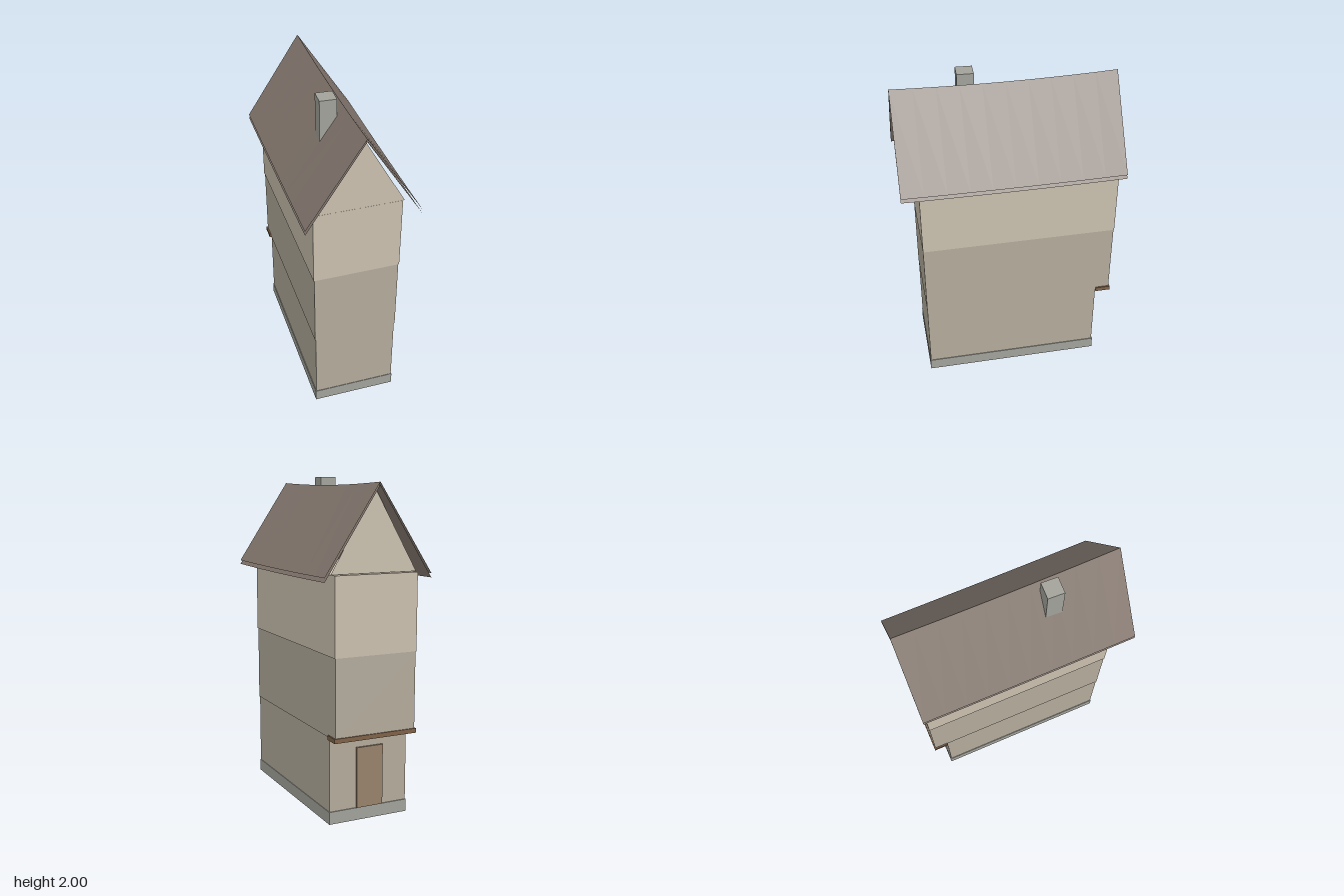
import * as THREE from 'three';

const mat = (color, side = THREE.FrontSide) =>
  new THREE.MeshStandardMaterial({ color, side, flatShading: true });

const upperWall = mat(0xc9bfae), lowerWall = mat(0xb2aa9b), stone = mat(0xa2a29b);
const timber = mat(0x7d6148), doorWood = mat(0x97826a);
const tiles = mat(0x857970, THREE.DoubleSide), plaster = mat(0xc9bfae, THREE.DoubleSide);

// Box given by its extents on each axis
function block(name, material, [x0, x1], [y0, y1], [z0, z1]) {
  const mesh = new THREE.Mesh(new THREE.BoxGeometry(x1 - x0, y1 - y0, z1 - z0), material);
  mesh.position.set((x0 + x1) / 2, (y0 + y1) / 2, (z0 + z1) / 2);
  mesh.name = name;
  return mesh;
}

// Thin pitched sheet, sagging towards the middle of its length
function roofSheet(name, side, ridge, eave) {
  const geo = new THREE.PlaneGeometry(1, 1, 1, 10);
  const p = geo.attributes.position;
  for (let i = 0; i < p.count; i++) {
    const down = p.getX(i) + 0.5, t = p.getY(i) * 2;
    const sag = (1 - t * t) * THREE.MathUtils.lerp(0.015, 0.005, down);
    p.setXYZ(i, side * 0.338 * down, THREE.MathUtils.lerp(ridge, eave, down) - sag, -t * 0.66);
  }
  if (side < 0) geo.index.array.reverse();
  geo.computeVertexNormals();
  const mesh = new THREE.Mesh(geo, tiles);
  mesh.name = name;
  return mesh;
}

// Triangular wall closing one end of the attic
function gable(name, z, turn) {
  const shape = new THREE.Shape([
    new THREE.Vector2(-0.272, 1.462), new THREE.Vector2(0.272, 1.462), new THREE.Vector2(0, 1.935),
  ]);
  const mesh = new THREE.Mesh(new THREE.ShapeGeometry(shape), plaster);
  mesh.position.z = z;
  mesh.rotation.y = turn;
  mesh.name = name;
  return mesh;
}

export function createModel() {
  const house = new THREE.Group();
  house.name = 'townHouse';

  // Storeys, each a little wider than the one below
  house.add(
    block('plinth', stone, [-0.257, 0.257], [0, 0.075], [-0.553, 0.553]),
    block('groundFloor', lowerWall, [-0.253, 0.253], [0.075, 0.525], [-0.547, 0.55]),
    block('middleFloor', lowerWall, [-0.258, 0.258], [0.525, 1.0], [-0.633, 0.551]),
    block('topFloor', upperWall, [-0.263, 0.263], [1.0, 1.46], [-0.635, 0.552]),
  );

  // Overhang beam and door at the back
  house.add(
    block('overhangBeam', timber, [-0.267, 0.267], [0.513, 0.54], [-0.64, -0.547]),
    block('door', doorWood, [-0.085, 0.085], [0.08, 0.447], [-0.568, -0.555]),
  );

  // Attic ends
  house.add(gable('frontGable', 0.554, 0), gable('backGable', -0.6, Math.PI));

  // Roof in two layers per slope
  for (const [label, side] of [['left', 1], ['right', -1]]) {
    house.add(roofSheet(label + 'RoofTop', side, 1.965, 1.453));
    house.add(roofSheet(label + 'RoofUnderside', side, 1.948, 1.428));
  }

  // Chimney, set slightly askew
  const chimney = block('chimney', stone, [-0.135, -0.036], [1.55, 2.0], [0.172, 0.271]);
  chimney.rotation.y = -0.04;
  house.add(chimney);

  return house;
}
